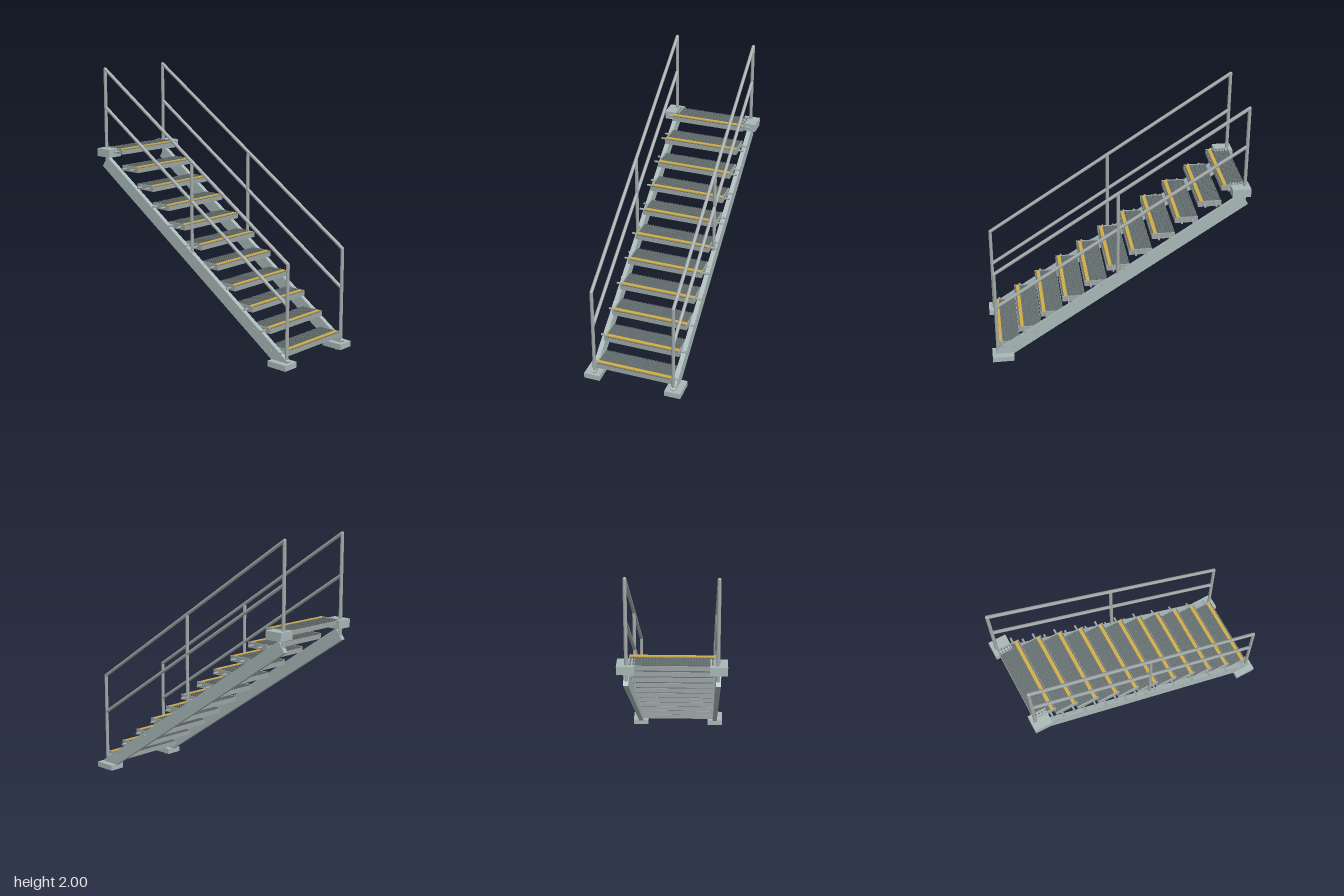
import * as THREE from 'three';

const mat = (color) => new THREE.MeshStandardMaterial({ color });

export function createModel() {
  const root = new THREE.Group();
  const steel = mat(0xa9b8b8), rail = mat(0xa4abab), pan = mat(0x9ca5a5);
  const grate = mat(0x667070), nosing = mat(0xd0ac48);

  const add = (parent, name, geometry, material, x = 0, y = 0, z = 0) => {
    const m = new THREE.Mesh(geometry, material);
    m.name = name;
    m.position.set(x, y, z);
    parent.add(m);
    return m;
  };
  const box = (parent, name, material, w, h, d, x, y, z) =>
    add(parent, name, new THREE.BoxGeometry(w, h, d), material, x, y, z);

  // Round bar between two points
  const bar = (parent, name, a, b, r = 0.013) => {
    const dir = b.clone().sub(a);
    const m = add(parent, name, new THREE.CylinderGeometry(r, r, dir.length(), 12), rail);
    m.position.copy(a).addScaledVector(dir, 0.5);
    m.quaternion.setFromUnitVectors(new THREE.Vector3(0, 1, 0), dir.normalize());
  };

  // Serrated grating bar running along x
  const halfW = 0.285, teeth = 28;
  const saw = new THREE.Shape();
  saw.moveTo(-halfW, 0);
  saw.lineTo(halfW, 0);
  for (let i = 0; i < teeth; i++) {
    const x = halfW - (i * 2 * halfW) / teeth, s = (2 * halfW) / teeth;
    saw.lineTo(x, 0.01);
    saw.lineTo(x - s * 0.5, 0.01);
    saw.lineTo(x - s * 0.5, 0.004);
    saw.lineTo(x - s, 0.004);
  }
  const sawGeo = new THREE.ExtrudeGeometry(saw, { depth: 0.01, bevelEnabled: false });
  const boltGeo = new THREE.CylinderGeometry(0.008, 0.008, 0.06, 8).rotateZ(Math.PI / 2);

  // Treads climbing towards the back
  const depth = 0.172;
  for (let i = 0; i < 11; i++) {
    const tread = new THREE.Group();
    tread.name = 'tread';
    tread.position.set(0, 0.152 + 0.123 * i, 0.917 - 0.1671 * i);
    root.add(tread);
    box(tread, 'treadPan', pan, 0.58, 0.034, depth, 0, -0.027, -depth / 2);
    box(tread, 'gratingBed', grate, 0.57, 0.004, depth - 0.006, 0, -0.009, -depth / 2);
    box(tread, 'nosing', nosing, 0.57, 0.009, 0.026, 0, -0.0045, -0.026);
    for (let k = 0; k < 6; k++)
      add(tread, 'gratingBar', sawGeo, grate, 0, -0.01, -0.061 - k * 0.0215);
    for (const s of [-1, 1]) {
      box(tread, 'endPlate', pan, 0.01, 0.042, depth, s * 0.288, -0.023, -depth / 2);
      for (const z of [-0.045, -0.128]) add(tread, 'bolt', boltGeo, rail, s * 0.306, -0.024, z);
    }
  }

  // Left and right sides
  const lo = new THREE.Vector2(0.912, 0.039), hi = new THREE.Vector2(-0.922, 1.272);
  const run = hi.clone().sub(lo);
  for (const s of [-1, 1]) {
    const side = new THREE.Group();
    side.name = s > 0 ? 'leftSide' : 'rightSide';
    root.add(side);

    // Sloping stringer
    const stringer = box(side, 'stringer', steel, 0.034, 0.094, run.length(),
      s * 0.31, (lo.y + hi.y) / 2, (lo.x + hi.x) / 2);
    stringer.rotation.x = Math.atan2(run.y, -run.x);

    // Floor and landing plates
    box(side, 'footPlate', steel, 0.122, 0.042, 0.163, s * 0.312, 0.046, 0.877);
    box(side, 'landingPlate', steel, 0.122, 0.062, 0.135, s * 0.312, 1.347, -0.888);

    // Handrail
    const p = (y, z) => new THREE.Vector3(s * 0.307, y, z);
    bar(side, 'topRail', p(0.77, 0.915), p(1.987, -0.922));
    bar(side, 'midRail', p(0.475, 0.915), p(1.692, -0.922));
    bar(side, 'lowerPost', p(0.05, 0.915), p(0.77, 0.915));
    bar(side, 'middlePost', p(0.66, 0), p(1.376, 0));
    bar(side, 'upperPost', p(1.26, -0.922), p(1.987, -0.922));
    for (const [y, z] of [[0.77, 0.915], [1.987, -0.922]])
      add(side, 'railCorner', new THREE.SphereGeometry(0.013, 12, 8), rail, s * 0.307, y, z);
  }
  return root;
}
